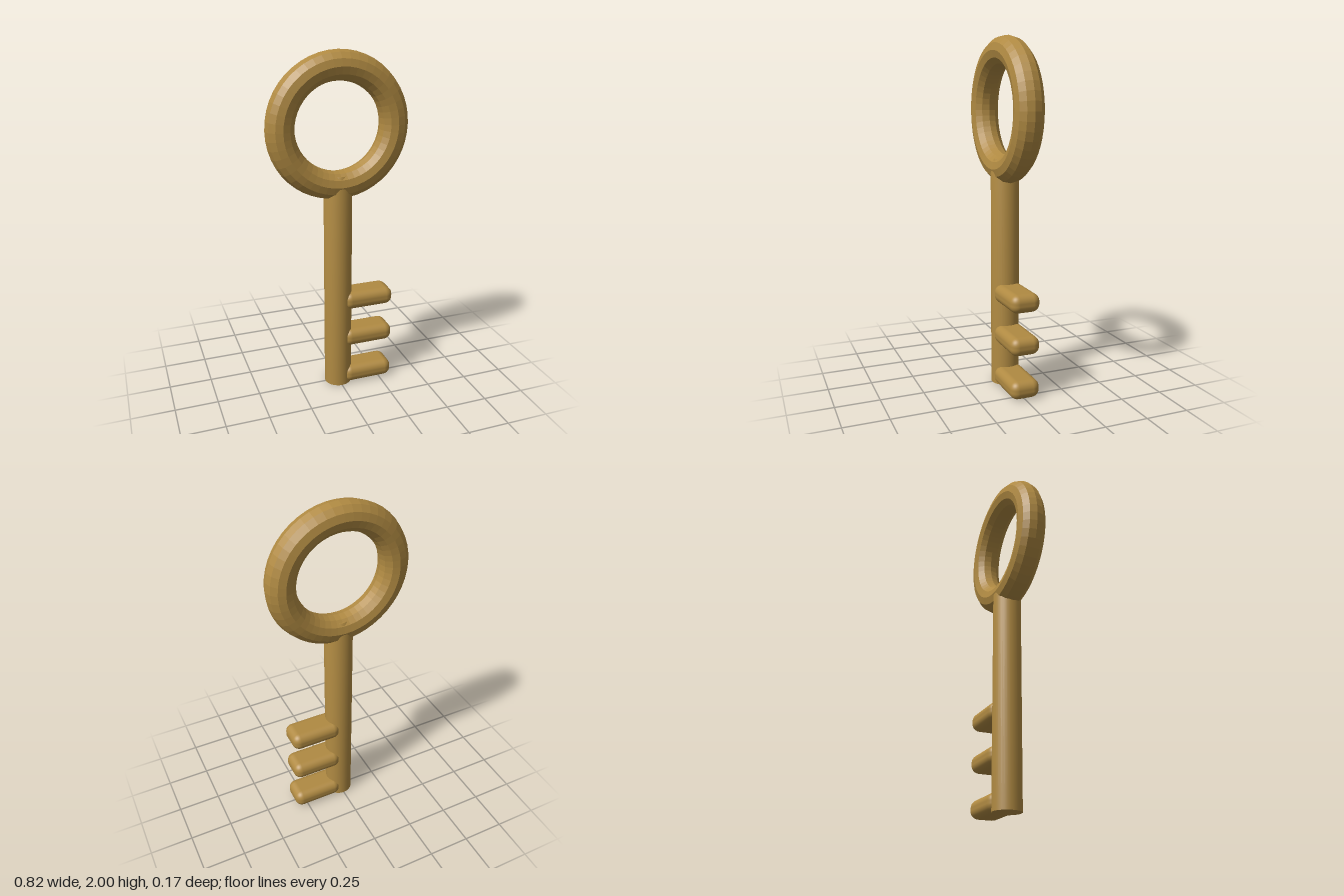
import * as THREE from 'three';
import { RoundedBoxGeometry } from 'three/addons/geometries/RoundedBoxGeometry.js';
import { toCreasedNormals } from 'three/addons/utils/BufferGeometryUtils.js';

export function createModel() {
  const key = new THREE.Group();
  key.name = 'key';

  const brass = new THREE.MeshStandardMaterial({ color: 0xb08a42 });
  brass.name = 'brass';

  const add = (name, geometry, x, y) => {
    const mesh = new THREE.Mesh(geometry, brass);
    mesh.name = name;
    mesh.position.set(x, y, 0);
    key.add(mesh);
  };

  // Ring handle, with faceted faces
  const ring = new THREE.TorusGeometry(0.328, 0.082, 12, 48).toNonIndexed();
  ring.computeVertexNormals();
  add('ringHandle', ring, 0, 1.59);

  // Round shaft, its top narrowing inside the ring
  const profile = [[0, 0], [0.081, 0], [0.081, 1.25], [0.069, 1.305], [0.061, 1.32], [0, 1.32]]
    .map(([r, y]) => new THREE.Vector2(r, y));
  add('shaft', toCreasedNormals(new THREE.LatheGeometry(profile, 32), 0.6), 0, 0);

  // Three rounded teeth on the left side
  for (const y of [0.057, 0.308, 0.552]) {
    add('tooth', new RoundedBoxGeometry(0.305, 0.105, 0.172, 4, 0.045), 0.173, y);
  }

  return key;
}
